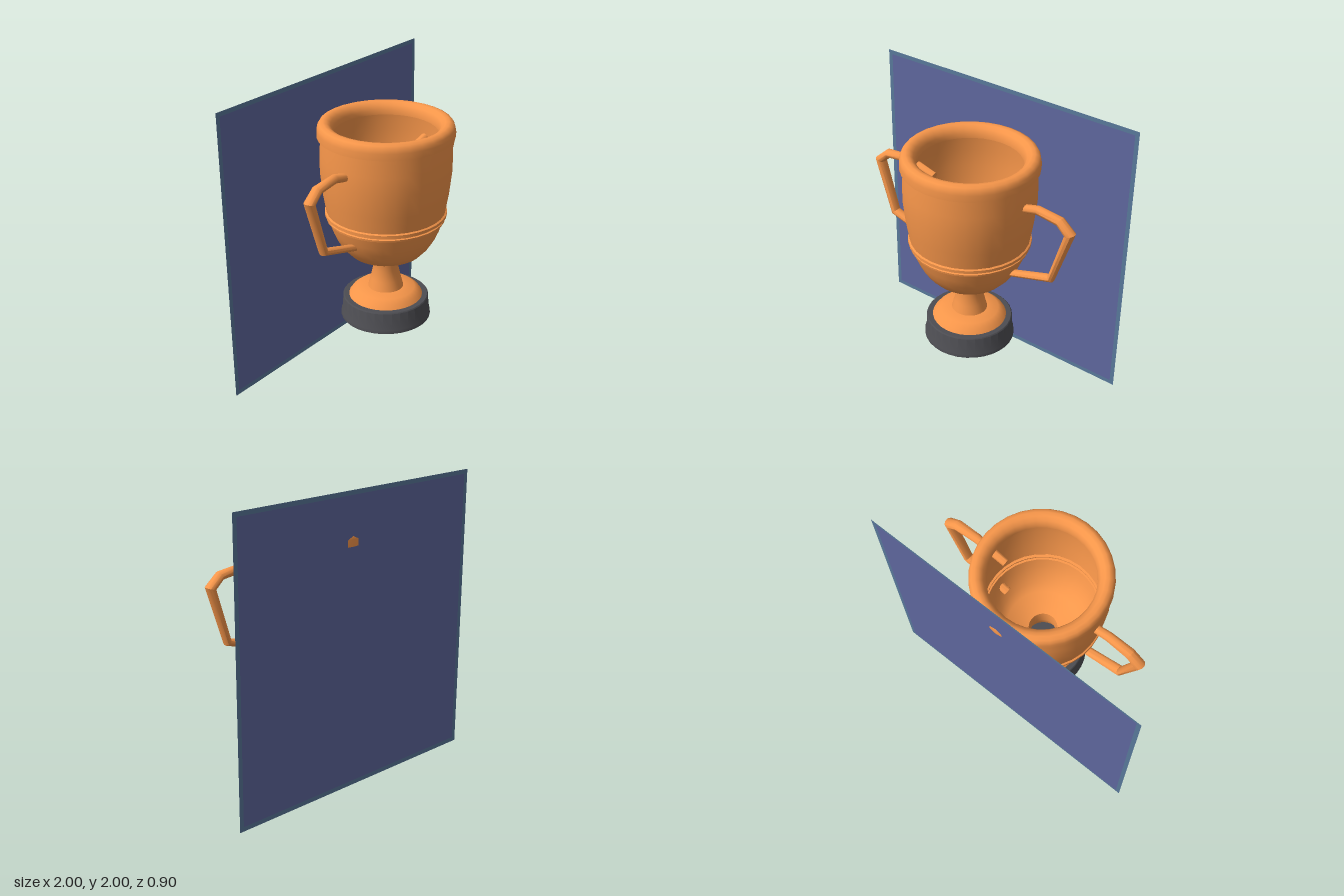
import * as THREE from 'three';
import { toCreasedNormals } from 'three/addons/utils/BufferGeometryUtils.js';

const material = (color) => new THREE.MeshStandardMaterial({ color, side: THREE.DoubleSide });
const gold = material(0xf7964a);
const dark = material(0x4d4d52);
const blue = material(0x6068a0);
const edgeBlue = material(0x5a7a9c);

function addMesh(parent, name, geometry, mat) {
  const mesh = new THREE.Mesh(geometry, mat);
  mesh.name = name;
  parent.add(mesh);
  return mesh;
}

// Turned part from [radius, height] pairs
function turned(profile) {
  const points = profile.map(([r, y]) => new THREE.Vector2(r, y));
  return toCreasedNormals(new THREE.LatheGeometry(points, 32), 0.75);
}

// Tapered bar swept along [x, y, halfWidth, halfDepth] stations with mitred bends
function handleGeometry(stations, sides = 10) {
  const positions = [], index = [];
  const last = stations.length - 1;
  const at = (i) => new THREE.Vector2(stations[i][0], stations[i][1]);
  stations.forEach(([x, y, width, depth], i) => {
    const before = at(i).sub(at(Math.max(i - 1, 0))).normalize();
    const after = at(Math.min(i + 1, last)).sub(at(i)).normalize();
    const dir = before.clone().add(after).normalize();
    const mitre = i === 0 || i === last ? 1 : 1 / dir.dot(after);
    for (let k = 0; k < sides; k++) {
      const a = ((k + 0.5) / sides) * Math.PI * 2;
      const w = Math.cos(a) * width * mitre;
      positions.push(x - dir.y * w, y + dir.x * w, Math.sin(a) * depth);
    }
  });
  for (let i = 0; i < last; i++) {
    for (let k = 0; k < sides; k++) {
      const a = i * sides + k, b = i * sides + ((k + 1) % sides);
      index.push(a, a + sides, b, b, a + sides, b + sides);
    }
  }
  // End caps
  for (let k = 1; k < sides - 1; k++) {
    const e = last * sides;
    index.push(0, k, k + 1, e, e + k + 1, e + k);
  }
  const geometry = new THREE.BufferGeometry();
  geometry.setAttribute('position', new THREE.Float32BufferAttribute(positions, 3));
  geometry.setIndex(index);
  return toCreasedNormals(geometry, 0.7);
}

export function createModel() {
  const model = new THREE.Group();
  model.name = 'trophyWithBackPanel';

  const trophy = new THREE.Group();
  trophy.name = 'trophy';
  trophy.position.x = 0.065;
  model.add(trophy);

  // Dark plinth
  addMesh(trophy, 'base', turned([
    [0, 0.32], [0.312, 0.32], [0.31, 0.345], [0.301, 0.36], [0.297, 0.465], [0.29, 0.472], [0, 0.472],
  ]), dark);

  // Foot, hollow stem and bowl as one thin shell
  addMesh(trophy, 'cup', turned([
    [0.255, 0.472], [0.235, 0.5], [0.2, 0.527], [0.122, 0.535], [0.105, 0.6], [0.087, 0.68], [0.1, 0.768],
    [0.25, 0.81], [0.3, 0.865], [0.337, 0.925], [0.365, 0.99], [0.386, 1.06],
    [0.4, 1.062], [0.402, 1.075], [0.393, 1.08], [0.393, 1.09],
    [0.411, 1.093], [0.411, 1.113], [0.4, 1.12],
    [0.42, 1.24], [0.437, 1.4], [0.438, 1.52], [0.43, 1.645],
  ]), gold);

  // Thick rounded lip
  addMesh(trophy, 'rim', turned([
    [0.43, 1.645], [0.452, 1.645], [0.452, 1.69], [0.447, 1.715], [0.434, 1.735], [0.41, 1.745],
    [0.385, 1.74], [0.36, 1.722], [0.345, 1.69], [0.343, 1.66],
  ]), gold);

  // Mirrored handles
  const stations = [
    [0.3, 1.458, 0.026, 0.027], [0.53, 1.516, 0.029, 0.033], [0.695, 1.497, 0.029, 0.037],
    [0.77, 1.43, 0.03, 0.04], [0.652, 1.056, 0.024, 0.036], [0.31, 0.952, 0.023, 0.03],
  ];
  for (const [name, angle] of [['leftHandle', 0], ['rightHandle', Math.PI]]) {
    addMesh(trophy, name, handleGeometry(stations), gold).rotation.y = angle;
  }

  // Flat square panel with a narrow border behind the cup
  const panel = new THREE.Group();
  panel.name = 'backPanel';
  panel.position.set(0, 1, -0.4475);
  model.add(panel);
  const inner = 0.97;
  addMesh(panel, 'panelFace', new THREE.PlaneGeometry(inner * 2, inner * 2), blue);
  const square = (s) => [[-s, -s], [s, -s], [s, s], [-s, s]].map(([x, y]) => new THREE.Vector2(x, y));
  const border = new THREE.Shape(square(1));
  border.holes.push(new THREE.Path(square(inner).reverse()));
  addMesh(panel, 'panelBorder', new THREE.ShapeGeometry(border), edgeBlue);

  return model;
}
